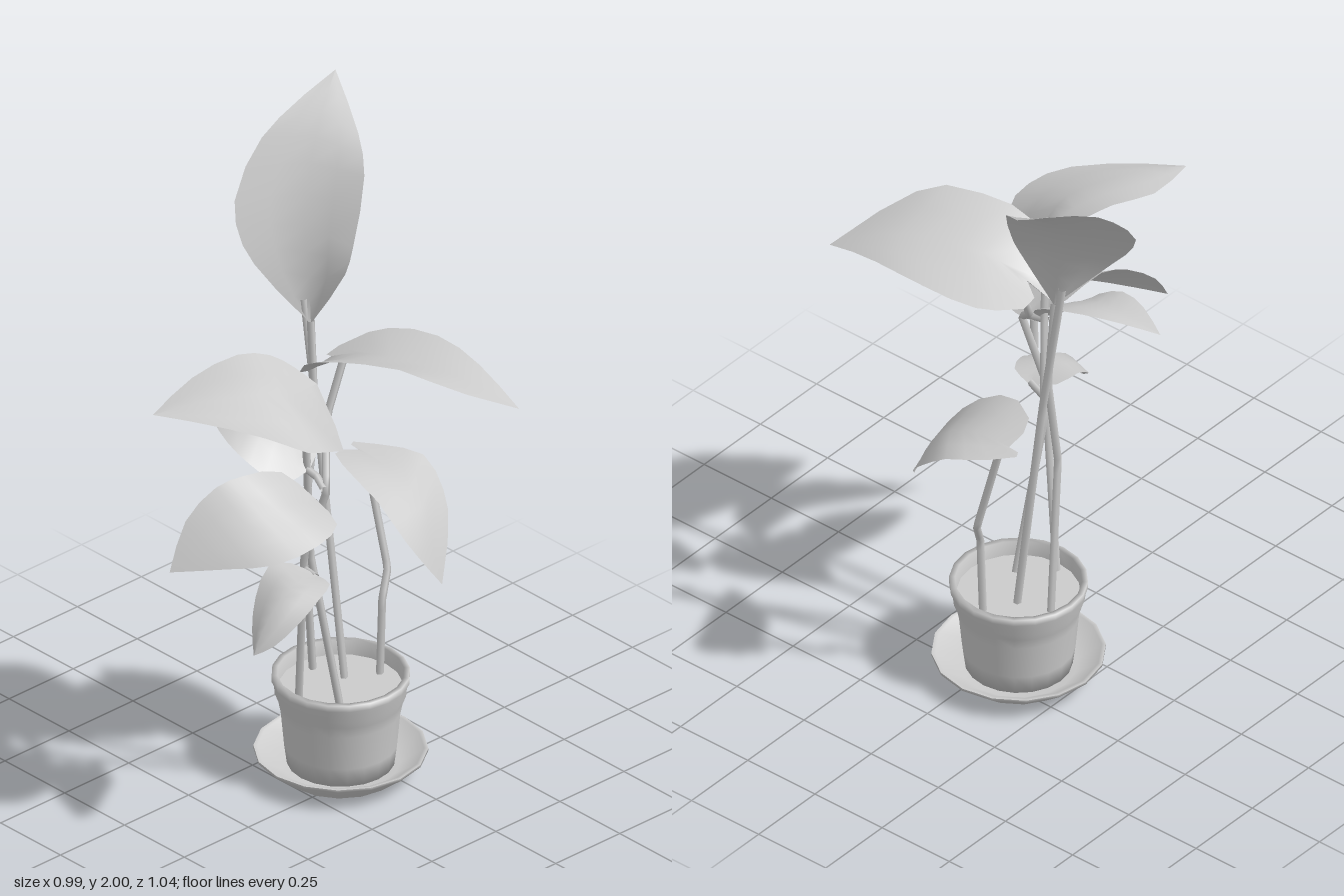
import * as THREE from 'three';

const material = new THREE.MeshStandardMaterial({ color: 0xcccccc, side: THREE.DoubleSide });
const vec = (p) => new THREE.Vector3(...p);
const curve = (points) => new THREE.CatmullRomCurve3(points.map(vec));

function addMesh(parent, name, geometry) {
  const mesh = new THREE.Mesh(geometry, material);
  mesh.name = name;
  parent.add(mesh);
  return mesh;
}

// Leaf blade: a sheet lofted between two edges and a midrib, all sharing base and tip
function leafGeometry({ base, tip, edgeA, rib, edgeB }, rows = 10) {
  const lines = [edgeA, rib, edgeB].map((points) => curve([base, ...points, tip]));
  const positions = [];
  const index = [];
  for (let i = 0; i <= rows; i++) {
    const [a, m, b] = lines.map((line) => line.getPoint(i / rows));
    const columns = [a, a.clone().lerp(m, 0.5), m, m.clone().lerp(b, 0.5), b];
    columns.forEach((p) => positions.push(p.x, p.y, p.z));
    if (i === rows) break;
    for (let j = 0; j < 4; j++) {
      const k = i * 5 + j;
      index.push(k, k + 5, k + 1, k + 1, k + 5, k + 6);
    }
  }
  const geometry = new THREE.BufferGeometry();
  geometry.setAttribute('position', new THREE.Float32BufferAttribute(positions, 3));
  geometry.setIndex(index);
  geometry.computeVertexNormals();
  return geometry;
}

// Stem: thin five-sided tube along straight runs between joints
function stemGeometry(points, radius = 0.012) {
  const path = new THREE.CurvePath();
  for (let i = 1; i < points.length; i++) {
    path.add(new THREE.LineCurve3(vec(points[i - 1]), vec(points[i])));
  }
  return new THREE.TubeGeometry(path, 24, radius, 5);
}

const leaves = {
  tallLeaf: {
    base: [-0.22, 1.39, -0.2], tip: [-0.46, 2, -0.52],
    edgeA: [[-0.13, 1.57, -0.25], [-0.14, 1.64, -0.29], [-0.2, 1.81, -0.39], [-0.3, 1.88, -0.46]],
    rib: [[-0.25, 1.52, -0.22], [-0.3, 1.66, -0.25], [-0.36, 1.81, -0.33], [-0.41, 1.92, -0.42]],
    edgeB: [[-0.35, 1.54, -0.12], [-0.42, 1.62, -0.11], [-0.475, 1.71, -0.14], [-0.5, 1.84, -0.25], [-0.485, 1.92, -0.35]],
  },
  broadLeaf: {
    base: [-0.07, 1.37, -0.14], tip: [0.49, 1.35, -0.35],
    edgeA: [[-0.14, 1.3, -0.09], [-0.06, 1.39, -0.02], [0.05, 1.46, 0.01],
      [0.16, 1.49, -0.02], [0.3, 1.5, -0.08], [0.39, 1.45, -0.16]],
    rib: [[0.02, 1.41, -0.16], [0.12, 1.43, -0.19], [0.24, 1.43, -0.23], [0.36, 1.41, -0.28]],
    edgeB: [[-0.13, 1.34, -0.18], [-0.1, 1.37, -0.3], [-0.04, 1.39, -0.36],
      [0.08, 1.41, -0.39], [0.21, 1.41, -0.39], [0.35, 1.39, -0.37]],
  },
  upperFrontLeaf: {
    base: [0.03, 1.38, 0.01], tip: [-0.11, 1.42, 0.52],
    edgeA: [[-0.03, 1.42, 0.04], [-0.08, 1.46, 0.09], [-0.12, 1.48, 0.18], [-0.15, 1.45, 0.33]],
    rib: [[0.05, 1.4, 0.09], [0.05, 1.43, 0.18], [0.01, 1.44, 0.29], [-0.05, 1.44, 0.41]],
    edgeB: [[0.14, 1.22, 0.01], [0.25, 1.31, 0.16], [0.25, 1.34, 0.25], [0.19, 1.38, 0.32], [0.05, 1.41, 0.42]],
  },
  leftwardLeaf: {
    base: [0.02, 1.1, 0.03], tip: [-0.39, 1.21, 0.07],
    edgeA: [[0, 1.16, -0.03], [-0.08, 1.24, -0.08], [-0.2, 1.26, -0.05], [-0.3, 1.24, 0.01]],
    rib: [[-0.05, 1.17, 0.04], [-0.13, 1.22, 0.05], [-0.22, 1.24, 0.05], [-0.31, 1.23, 0.06]],
    edgeB: [[0, 1.08, 0.12], [-0.07, 1.14, 0.18], [-0.15, 1.18, 0.19], [-0.26, 1.2, 0.15]],
  },
  lowerFrontLeaf: {
    base: [0.08, 1.04, 0.06], tip: [-0.04, 0.93, 0.52],
    edgeA: [[0, 1.12, 0.12], [-0.02, 1.15, 0.25], [-0.05, 1.13, 0.33], [-0.07, 1.05, 0.43]],
    rib: [[0.1, 1.07, 0.14], [0.1, 1.08, 0.23], [0.07, 1.06, 0.33], [0.02, 1.0, 0.43]],
    edgeB: [[0.2, 1.02, 0.09], [0.24, 1.01, 0.2], [0.2, 0.98, 0.33], [0.1, 0.96, 0.42]],
  },
  smallLeaf: {
    base: [0.1, 0.8, 0.07], tip: [0.13, 0.66, 0.35],
    edgeA: [[0.02, 0.82, 0.1], [0, 0.83, 0.17], [0.03, 0.77, 0.25], [0.08, 0.71, 0.31]],
    rib: [[0.11, 0.82, 0.13], [0.12, 0.82, 0.2], [0.13, 0.78, 0.27], [0.13, 0.72, 0.32]],
    edgeB: [[0.17, 0.81, 0.09], [0.2, 0.8, 0.16], [0.2, 0.75, 0.24], [0.17, 0.69, 0.31]],
  },
  backLeaf: {
    base: [-0.17, 0.94, -0.34], tip: [0.2, 0.66, -0.32],
    edgeA: [[-0.17, 0.97, -0.25], [-0.06, 0.98, -0.19], [0.06, 0.92, -0.2], [0.14, 0.83, -0.22], [0.18, 0.75, -0.26]],
    rib: [[-0.09, 0.94, -0.34], [0, 0.92, -0.34], [0.09, 0.86, -0.34], [0.15, 0.77, -0.33]],
    edgeB: [[-0.22, 0.94, -0.35], [-0.14, 0.93, -0.43], [-0.05, 0.92, -0.48], [0.03, 0.86, -0.475], [0.1, 0.79, -0.44]],
  },
};

const stems = {
  tallLeafStem: [[-0.09, 0.26, -0.21], [-0.17, 1.0, -0.19], [-0.25, 1.46, -0.2]],
  tallLeafSideStem: [[-0.19, 0.26, -0.18], [-0.175, 0.78, -0.13], [-0.18, 1.08, -0.18], [-0.22, 1.4, -0.2]],
  broadLeafStem: [[-0.08, 0.26, -0.02], [0.04, 0.85, 0.07], [0.1, 1.06, 0.04], [-0.03, 1.2, -0.08], [-0.03, 1.375, -0.15]],
  upperFrontLeafStem: [[0.01, 0.26, -0.1], [-0.03, 0.78, -0.02], [0.01, 1.12, 0.03], [0.02, 1.37, 0.05]],
  backLeafStem: [[-0.04, 0.26, -0.3], [-0.03, 0.52, -0.3], [-0.05, 0.6, -0.34], [-0.14, 0.93, -0.34]],
  leftwardLeafStem: [[0.09, 1.07, 0.04], [0.05, 1.09, 0.03], [0.0, 1.1, 0.03]],
  lowerFrontLeafStem: [[0.07, 0.95, 0.06], [0.08, 1.04, 0.07]],
  smallLeafStem: [[0.03, 0.79, 0.06], [0.1, 0.8, 0.08]],
};

function lathe(points, segments) {
  return new THREE.LatheGeometry(points.map(([r, y]) => new THREE.Vector2(r, y)), segments);
}

export function createModel() {
  const model = new THREE.Group();
  model.name = 'pottedPlant';

  // Pot, soil and saucer
  const planter = new THREE.Group();
  planter.name = 'planter';
  planter.position.set(-0.063, 0, -0.17);
  model.add(planter);
  addMesh(planter, 'pot', lathe([
    [0, 0.03], [0.155, 0.03], [0.163, 0.09], [0.173, 0.2], [0.18, 0.235], [0.19, 0.26],
    [0.192, 0.285], [0.199, 0.3], [0.199, 0.32], [0.182, 0.32], [0.176, 0.26],
  ], 20));
  const soil = addMesh(planter, 'soil', new THREE.CircleGeometry(0.178, 20));
  soil.rotation.x = -Math.PI / 2;
  soil.position.y = 0.275;
  addMesh(planter, 'saucer', lathe([[0.17, 0], [0.25, 0.065], [0.25, 0.073]], 16));
  addMesh(planter, 'saucerInside', lathe([[0.25, 0.073], [0.238, 0.073], [0.17, 0.025], [0, 0.025]], 16));
  const base = addMesh(planter, 'saucerBase', new THREE.CircleGeometry(0.17, 16));
  base.rotation.x = Math.PI / 2;

  // Plant
  for (const [name, points] of Object.entries(stems)) addMesh(model, name, stemGeometry(points));
  for (const [name, leaf] of Object.entries(leaves)) addMesh(model, name, leafGeometry(leaf));
  return model;
}
